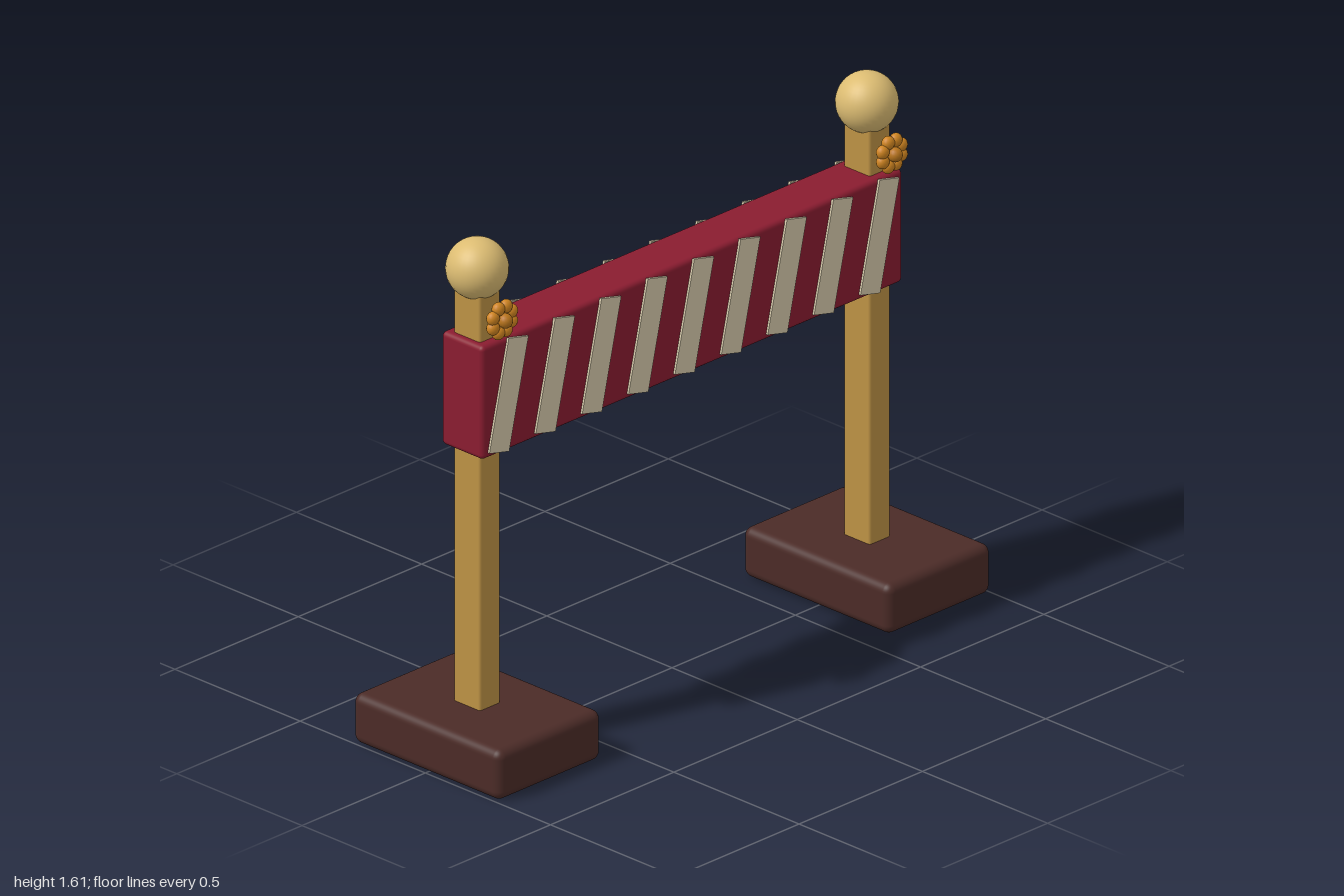
import * as THREE from 'three';
import { RoundedBoxGeometry } from 'three/addons/geometries/RoundedBoxGeometry.js';

const mat = (color) => new THREE.MeshStandardMaterial({ color });
const wood = mat(0xbd9245), darkWood = mat(0x4b2b27), red = mat(0x8a1c30);
const cream = mat(0xd6caab), brass = mat(0xdcbc72), orange = mat(0xcf8420), amber = mat(0xb8741c);

function add(parent, name, geometry, material, x, y, z) {
  const mesh = new THREE.Mesh(geometry, material);
  mesh.name = name;
  mesh.position.set(x, y, z);
  parent.add(mesh);
  return mesh;
}

// Ring of eight flattened petals around a small centre bead
function createFlower() {
  const flower = new THREE.Group();
  flower.name = 'flower';
  const petalGeo = new THREE.SphereGeometry(0.021, 16, 12);
  const count = 8;
  for (let i = 0; i < count; i++) {
    const a = (i + 0.5) / count * Math.PI * 2;
    const petal = add(flower, 'petal', petalGeo, orange, Math.cos(a) * 0.04, Math.sin(a) * 0.04, 0);
    petal.scale.z = 0.85;
  }
  add(flower, 'flowerCentre', new THREE.SphereGeometry(0.022, 16, 12), amber, 0, 0, 0.013);
  return flower;
}

// Foot, post, ball finial and flower
function createStand(x) {
  const stand = new THREE.Group();
  stand.name = x > 0 ? 'leftStand' : 'rightStand';
  stand.position.x = x;
  add(stand, 'foot', new RoundedBoxGeometry(0.42, 0.156, 0.59, 4, 0.028), darkWood, 0, 0.078, 0);
  add(stand, 'post', new RoundedBoxGeometry(0.084, 1.34, 0.106, 2, 0.008), wood, 0, 0.8, 0);
  add(stand, 'ballFinial', new THREE.SphereGeometry(0.091, 32, 24), brass, 0, 1.515, 0);
  const flower = createFlower();
  flower.position.set(0, 1.385, 0.1);
  stand.add(flower);
  return stand;
}

export function createModel() {
  const model = new THREE.Group();
  model.name = 'barrier';
  for (const x of [0.79, -0.79]) model.add(createStand(x));

  // Crossbeam
  add(model, 'crossbeam', new RoundedBoxGeometry(1.706, 0.355, 0.166, 3, 0.015), red, 0, 1.133, 0);

  // Slanted stripes on both faces
  const stripeGeo = new THREE.BoxGeometry(0.082, 0.345, 0.008);
  for (let i = 0; i < 9; i++) {
    for (const side of [1, -1]) {
      const stripe = add(model, 'stripe', stripeGeo, cream, (i - 4) * 0.188, 1.133, side * 0.086);
      stripe.rotation.z = -0.23;
    }
  }
  return model;
}
